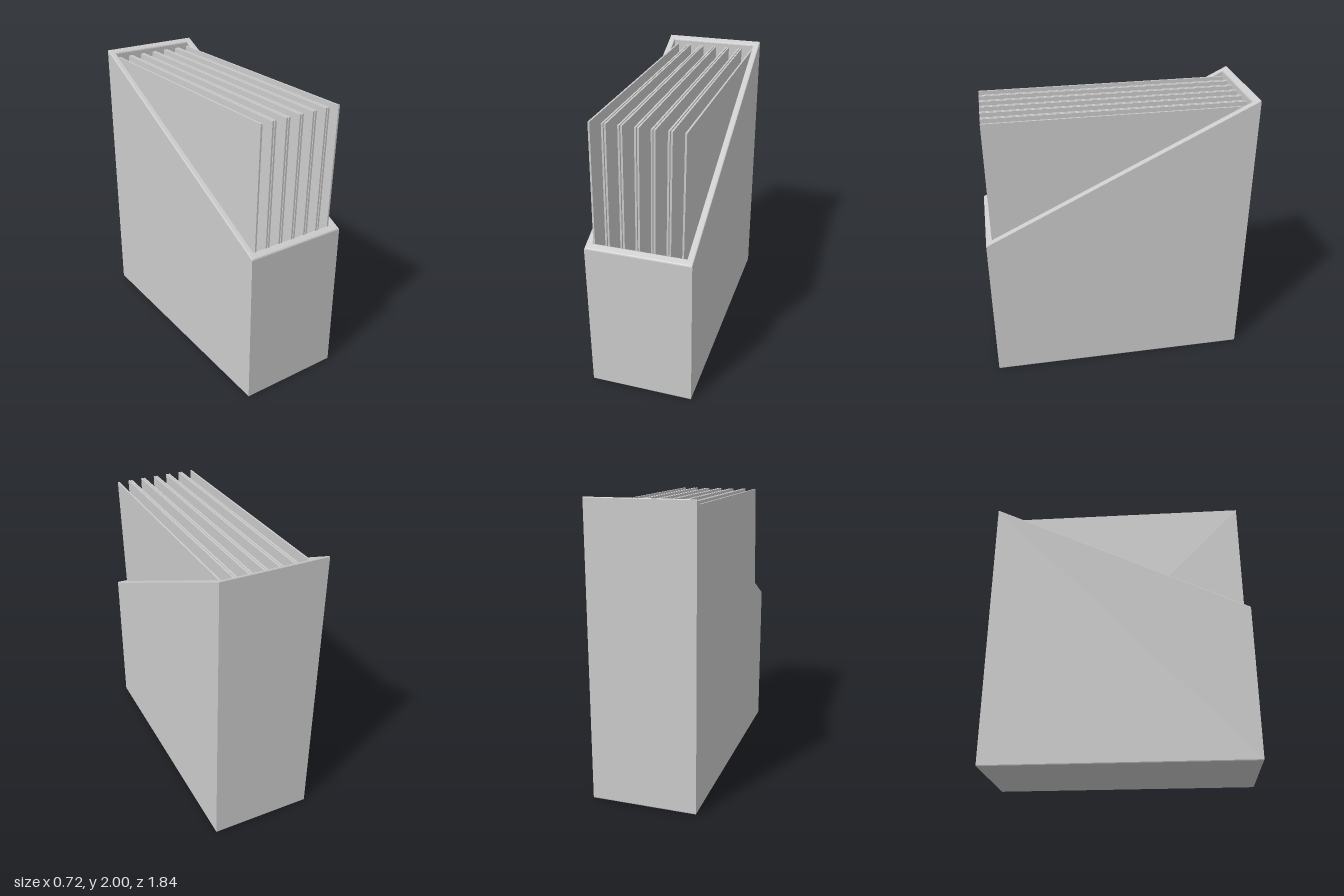
import * as THREE from 'three';

const HX = 0.36, HZ = 0.92, WALL = 0.045, BEVEL = 0.008;
const FOLDERS = 6, PITCH = 0.102, COVER = 0.012, LEAN = 0.02;

const material = new THREE.MeshStandardMaterial({ color: 0xcccccc });

// Height of the sloping rim at depth z
const rimHeight = z => 2 - 0.91 * (z + HZ) / (2 * HZ);

function addMesh(parent, geometry, name) {
  const mesh = new THREE.Mesh(geometry, material);
  mesh.name = name;
  parent.add(mesh);
  return mesh;
}

function rectangle(Target, hx, hz) {
  return new Target([[-hx, -hz], [hx, -hz], [hx, hz], [-hx, hz]].map(p => new THREE.Vector2(...p)));
}

// Four walls: a rectangular tube whose top is scaled down to the sloping rim
function wallsGeometry() {
  const shape = rectangle(THREE.Shape, HX - BEVEL, HZ - BEVEL);
  shape.holes.push(rectangle(THREE.Path, HX - WALL + BEVEL, HZ - WALL + BEVEL));
  const geo = new THREE.ExtrudeGeometry(shape, {
    depth: 2 - 2 * BEVEL, bevelEnabled: true, bevelSize: BEVEL, bevelThickness: BEVEL, bevelSegments: 2,
  });
  geo.translate(0, 0, BEVEL).rotateX(-Math.PI / 2);
  const pos = geo.attributes.position;
  for (let i = 0; i < pos.count; i++) {
    const y = pos.getY(i);
    if (y > 1) pos.setY(i, y - 2 + rimHeight(pos.getZ(i)));
  }
  geo.computeVertexNormals();
  return geo;
}

// Upright box that leans slightly towards +x as it rises
function leaningBox(width, y0, y1, depth, x) {
  const geo = new THREE.BoxGeometry(width, y1 - y0, depth);
  geo.translate(x, (y0 + y1) / 2, 0);
  const pos = geo.attributes.position;
  for (let i = 0; i < pos.count; i++) {
    pos.setX(i, pos.getX(i) + (pos.getY(i) - 1.5) * LEAN);
  }
  geo.computeVertexNormals();
  return geo;
}

export function createModel() {
  const model = new THREE.Group();
  model.name = 'fileHolder';

  // Holder with sloping open top
  const holder = new THREE.Group();
  holder.name = 'holder';
  model.add(holder);
  addMesh(holder, wallsGeometry(), 'walls');
  addMesh(holder, new THREE.BoxGeometry(2 * (HX - 0.01), WALL, 2 * (HZ - 0.01)), 'floor')
    .position.y = WALL / 2 + 0.001;

  // Row of folders, each with two thin covers joined at the bottom
  for (let i = 0; i < FOLDERS; i++) {
    const folder = new THREE.Group();
    folder.name = `folder${i + 1}`;
    model.add(folder);
    const x = (i - (FOLDERS - 1) / 2) * PITCH;
    const half = PITCH / 2 - COVER / 2 - 0.003;
    for (const side of [-1, 1]) {
      addMesh(folder, leaningBox(COVER, 0.05, 1.945, 1.76, x + side * half), side < 0 ? 'rightCover' : 'leftCover');
    }
    addMesh(folder, leaningBox(2 * half - COVER, 0.05, 0.062, 1.7, x), 'folderBase');
  }
  return model;
}
